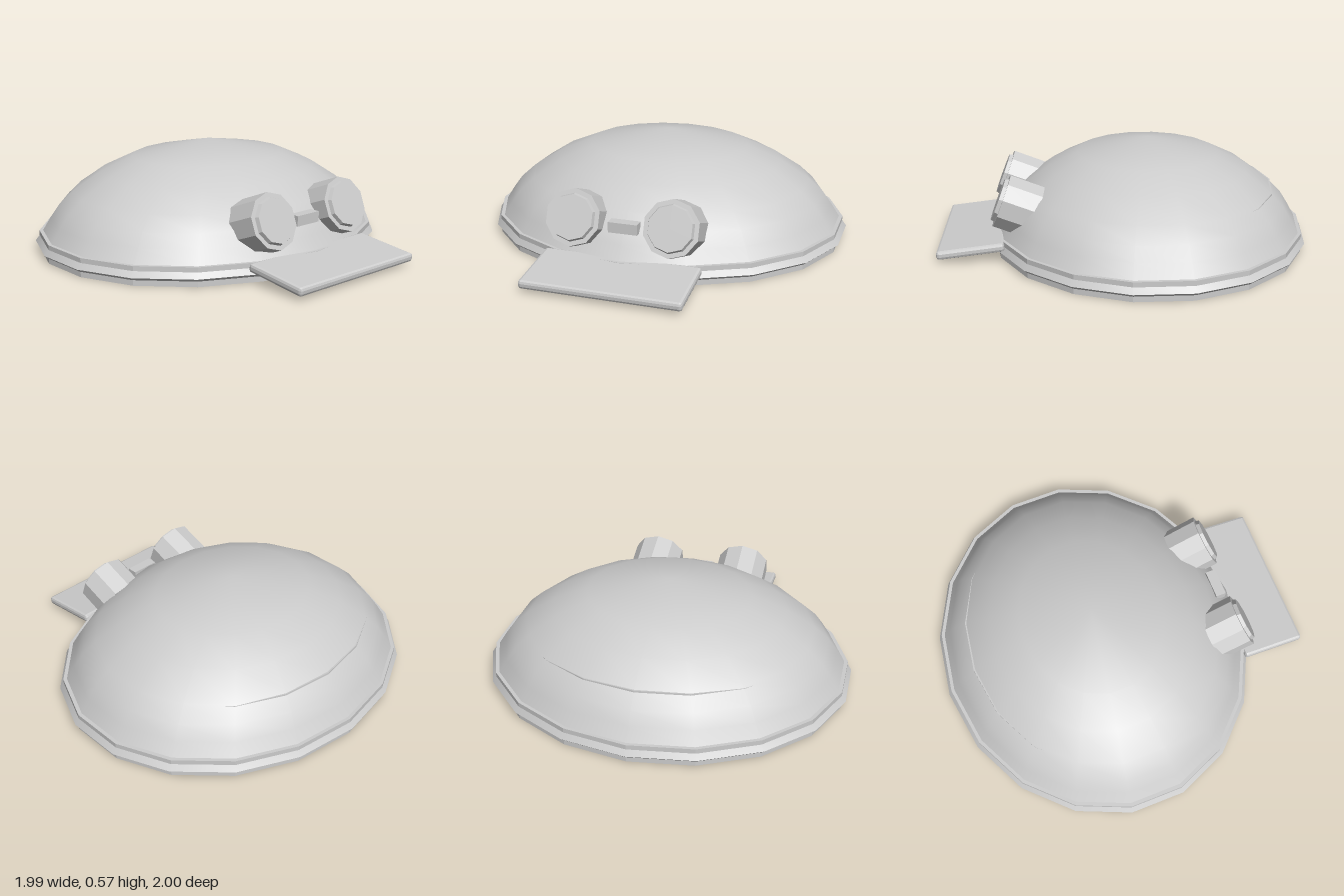
import * as THREE from 'three';
import { toCreasedNormals } from 'three/addons/utils/BufferGeometryUtils.js';
import { RoundedBoxGeometry } from 'three/addons/geometries/RoundedBoxGeometry.js';

const SIDES = 18;
const DEPTH = 0.863; // the cap is an oval, narrower front to back
const CENTRE_Z = -0.13;

export function createModel() {
  const model = new THREE.Group();
  model.name = 'capWithGoggles';
  const grey = new THREE.MeshStandardMaterial({ color: 0xcccccc, side: THREE.DoubleSide });
  grey.name = 'plain grey';

  const add = (parent, name, geometry, x = 0, y = 0, z = 0) => {
    const mesh = new THREE.Mesh(geometry, grey);
    mesh.name = name;
    mesh.position.set(x, y, z);
    parent.add(mesh);
    return mesh;
  };
  const flat = (geometry) => toCreasedNormals(geometry, 0.05);
  const oval = (profile) =>
    new THREE.LatheGeometry(profile.map(([r, y]) => new THREE.Vector2(r, y)), SIDES).scale(1, 1, DEPTH);

  // Smooth hollow shell: down the inside, around the flared lip, up the outside
  const shell = [
    [0, 0.535], [0.43, 0.455], [0.61, 0.375], [0.76, 0.28], [0.84, 0.21], [0.895, 0.135], [0.945, 0.04],
    [0.96, 0.03], [0.99, 0.03], [1.008, 0.045],
    [0.965, 0.1], [0.92, 0.17], [0.87, 0.238], [0.79, 0.309], [0.635, 0.407], [0.447, 0.487], [0, 0.567],
  ];
  add(model, 'shell', toCreasedNormals(oval(shell), 0.7), 0, 0, CENTRE_Z);

  // Rim band around the opening
  const band = [[0.985, 0], [0.985, 0.1], [0.955, 0.1], [0.955, 0], [0.985, 0]];
  add(model, 'rimBand', flat(oval(band)), 0, 0, CENTRE_Z);

  // Strap, tilted so that its back edge breaks through the shell
  const strap = [[0.802, -0.04], [0.802, 0.04], [0.777, 0.04], [0.777, -0.04], [0.802, -0.04]];
  add(model, 'strap', flat(oval(strap)), 0, 0.236, CENTRE_Z).rotation.x = 0.05;

  // Brim sloping down to the front
  const brim = add(model, 'brim', flat(new RoundedBoxGeometry(0.835, 0.046, 0.355, 1, 0.015)), 0, 0.063, 0.823);
  brim.rotation.x = 0.115;

  // Goggles: ten-sided housings with a raised lens, leaning back
  for (const side of [-1, 1]) {
    const goggle = new THREE.Group();
    goggle.name = side > 0 ? 'leftGoggle' : 'rightGoggle';
    goggle.position.set(side * 0.26, 0.291, 0.662);
    goggle.rotation.x = -0.37;
    model.add(goggle);
    const drum = (front, back, length) =>
      flat(new THREE.CylinderGeometry(front, back, length, 10).rotateX(Math.PI / 2));
    add(goggle, 'housing', drum(0.148, 0.148, 0.19), 0, 0, -0.095);
    add(goggle, 'lens', drum(0.117, 0.124, 0.02), 0, 0, 0.01);
  }
  add(model, 'bridge', new THREE.BoxGeometry(0.155, 0.055, 0.057), 0, 0.253, 0.618);

  return model;
}
